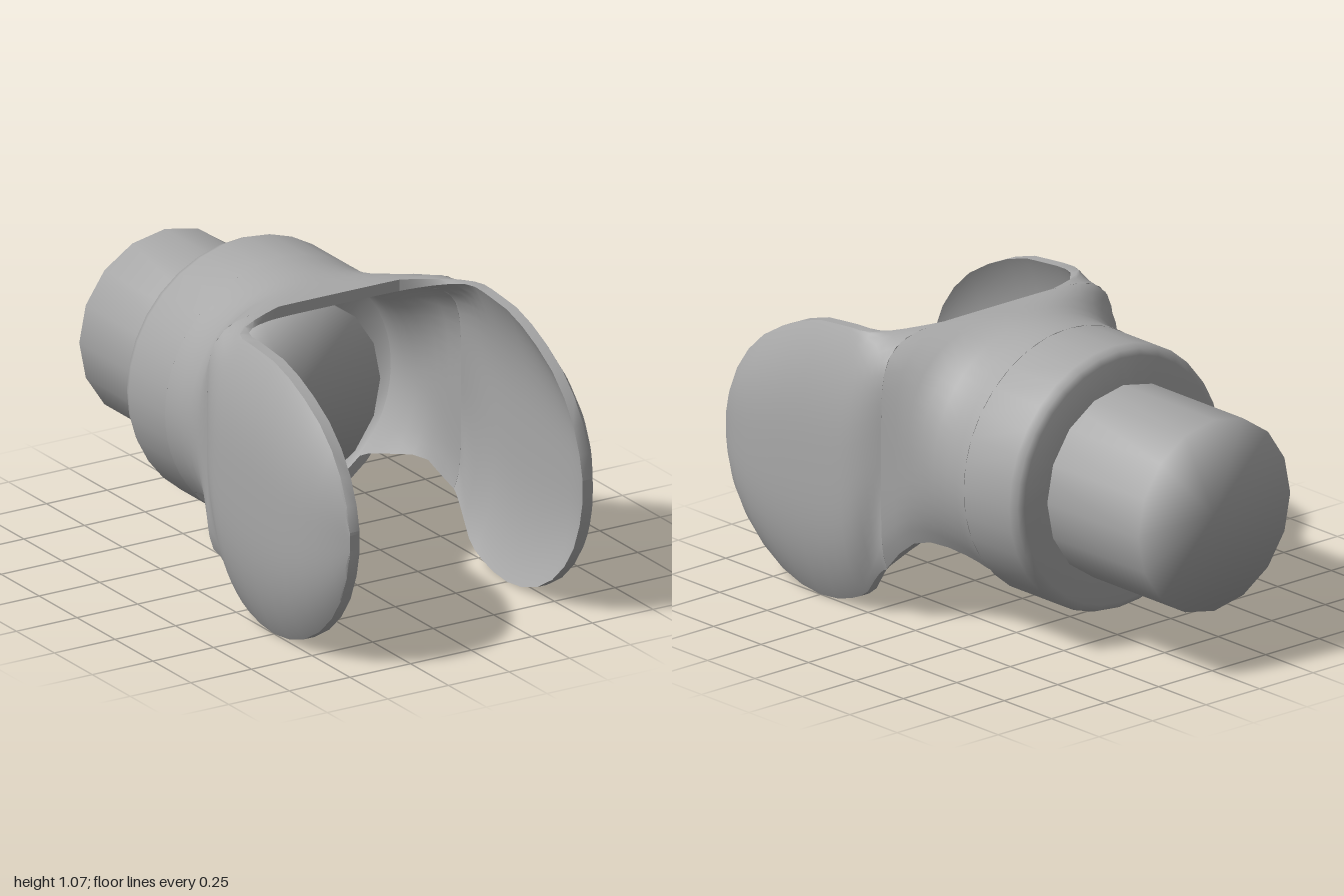
import * as THREE from 'three';
import { toCreasedNormals, mergeVertices } from 'three/addons/utils/BufferGeometryUtils.js';

const YC = 0.58; // height of the shaft axis

// piecewise linear lookup in [x, y] pairs
function lookup(table, x) {
  if (x <= table[0][0]) return table[0][1];
  for (let i = 1; i < table.length; i++) {
    const [x0, y0] = table[i - 1], [x1, y1] = table[i];
    if (x <= x1) return y0 + (y1 - y0) * (x - x0) / (x1 - x0);
  }
  return table[table.length - 1][1];
}

// skin closed wall sections (outer points, then inner points backwards)
function loft(rings, mirror = false) {
  const n = rings[0].length, pos = [], idx = [];
  rings.forEach(r => r.forEach(p => pos.push(mirror ? -p[0] : p[0], p[1], p[2])));
  const tri = (a, b, c) => mirror ? idx.push(a, c, b) : idx.push(a, b, c);
  for (let j = 0; j < rings.length - 1; j++) {
    for (let i = 0; i < n; i++) {
      const a = j * n + i, b = j * n + (i + 1) % n;
      tri(a, b, b + n);
      tri(a, b + n, a + n);
    }
  }
  const end = (rings.length - 1) * n;
  for (let i = 0; i < n / 2 - 1; i++) {
    const a = i, b = i + 1, c = n - 2 - i, d = n - 1 - i;
    tri(a, c, b); tri(a, d, c);
    tri(end + a, end + b, end + c); tri(end + a, end + c, end + d);
  }
  const g = new THREE.BufferGeometry();
  g.setAttribute('position', new THREE.Float32BufferAttribute(pos, 3));
  g.setIndex(idx);
  return toCreasedNormals(g, 0.75);
}

// squarish arch: half width w, half height h, squareness n, swept a0..a1
function arch(w, h, n, a0, a1, count, z) {
  return Array.from({ length: count }, (_, i) => {
    const a = a0 + (a1 - a0) * i / (count - 1);
    const c = Math.cos(a), s = Math.sin(a);
    const r = Math.pow(Math.abs(c) ** n + Math.abs(s) ** n, -1 / n);
    return [w * r * c, YC + h * r * s, z];
  });
}

// angle at which the arch reaches the height y
function bottomAngle(y, h, n) {
  const q = Math.max(-0.82, (y - YC) / h);
  return Math.atan2(q, Math.pow(1 - Math.abs(q) ** n, 1 / n));
}

const JOIN = { z: 0.13, w: 0.545, n: 6, h: 0.475, bottom: 0.2 };
const WALL = 0.042;

function yokeBody() {
  // z, half width, squareness, half height, lower edge
  const rows = [
    [-0.24, 0.487, 2, 0.487, 0.26], [-0.2, 0.487, 2, 0.487, 0.28],
    [-0.15, 0.487, 2, 0.487, 0.293], [-0.08, 0.49, 2.1, 0.487, 0.31],
    [-0.02, 0.497, 2.4, 0.486, 0.32], [0.03, 0.51, 3, 0.484, 0.31],
    [0.08, 0.526, 4.2, 0.481, 0.265], [JOIN.z, JOIN.w, JOIN.n, JOIN.h, JOIN.bottom],
  ];
  return loft(rows.map(([z, w, n, h, bottom]) => {
    const ring = (d) => {
      const a = bottomAngle(bottom, h - d, n);
      return arch(w - d, h - d, n, a, Math.PI - a, 45, z);
    };
    return [...ring(0), ...ring(WALL).reverse()];
  }));
}

function yokeArm(mirror) {
  const top = [[0.13, 1.04], [0.35, 1.035], [0.5, 1.02], [0.6, 0.99], [0.7, 0.945], [0.8, 0.885],
    [0.88, 0.81], [0.94, 0.725], [0.98, 0.63], [1, 0.54]];
  const low = [[0.13, 0.2], [0.18, 0.145], [0.25, 0.07], [0.32, 0.035], [0.4, 0.01], [0.5, 0],
    [0.6, 0.012], [0.7, 0.045], [0.8, 0.105], [0.88, 0.18], [0.94, 0.265], [0.98, 0.365], [1, 0.46]];
  const zs = [0.13, 0.14, 0.155, 0.18, 0.21, 0.25, 0.29, 0.34, 0.41, 0.5, 0.6, 0.7, 0.8, 0.88, 0.94, 0.98, 1];
  const count = 23;
  return loft(zs.map(z => {
    // the roof corner sweeps back into the free rim of the arm
    const k = 1 - Math.pow(1 - Math.min(1, (z - JOIN.z) / 0.16), 2);
    const taper = z > 0.5 ? 1 - ((z - 0.5) / 0.5) ** 4 : 1;
    const y0 = lookup(low, z), y1 = lookup(top, z);
    const skin = (d, edge, bulge) => {
      const w = JOIN.w - d, h = JOIN.h - d, n = JOIN.n, x = 0.25 / w;
      const a1 = Math.atan2(Math.pow(1 - x ** n, 1 / n), x);
      const from = arch(w, h, n, bottomAngle(y0, h, n), a1, count, z);
      return from.map((p, i) => {
        const u = -Math.cos(Math.PI * i / (count - 1)); // closer points near the rim
        const ex = edge + bulge * taper * (1 - Math.abs(u) ** 3);
        const ey = (y0 + y1) / 2 + u * (y1 - y0) / 2;
        return [p[0] + (ex - p[0]) * k, p[1] + (ey - p[1]) * k, z];
      });
    };
    return [...skin(0, 0.5, 0.095), ...skin(WALL, 0.46, 0.09).reverse()];
  }), mirror);
}

export function createModel() {
  const group = new THREE.Group();
  const metal = new THREE.MeshStandardMaterial({ color: 0xa8a8a8 });
  metal.name = 'grey metal';
  const add = (name, geometry) => {
    const mesh = new THREE.Mesh(geometry, metal);
    mesh.name = name;
    group.add(mesh);
    return mesh;
  };

  // shaft with soft shading over its ends, reaching through the collar
  let shaft = new THREE.CylinderGeometry(0.355, 0.355, 0.85, 16);
  shaft.deleteAttribute('normal');
  shaft.deleteAttribute('uv');
  shaft = mergeVertices(shaft);
  shaft.computeVertexNormals();
  shaft.rotateX(Math.PI / 2);
  add('shaft', shaft).position.set(-0.01, 0.575, -0.575);

  // shallow cup-shaped collar around the shaft
  const profile = [[0.3, -0.52], [0.452, -0.52], [0.475, -0.51], [0.487, -0.48], [0.487, -0.24],
    [0.45, -0.24], [0.41, -0.3], [0.3, -0.32]].map(p => new THREE.Vector2(...p));
  const collar = new THREE.LatheGeometry(profile, 32);
  collar.rotateX(Math.PI / 2);
  collar.deleteAttribute('uv');
  add('collar', toCreasedNormals(collar, 0.9)).position.y = YC;

  // hollow yoke: arched body and two rounded, dished arms
  add('yokeBody', yokeBody());
  add('leftArm', yokeArm(false));
  add('rightArm', yokeArm(true));
  return group;
}
